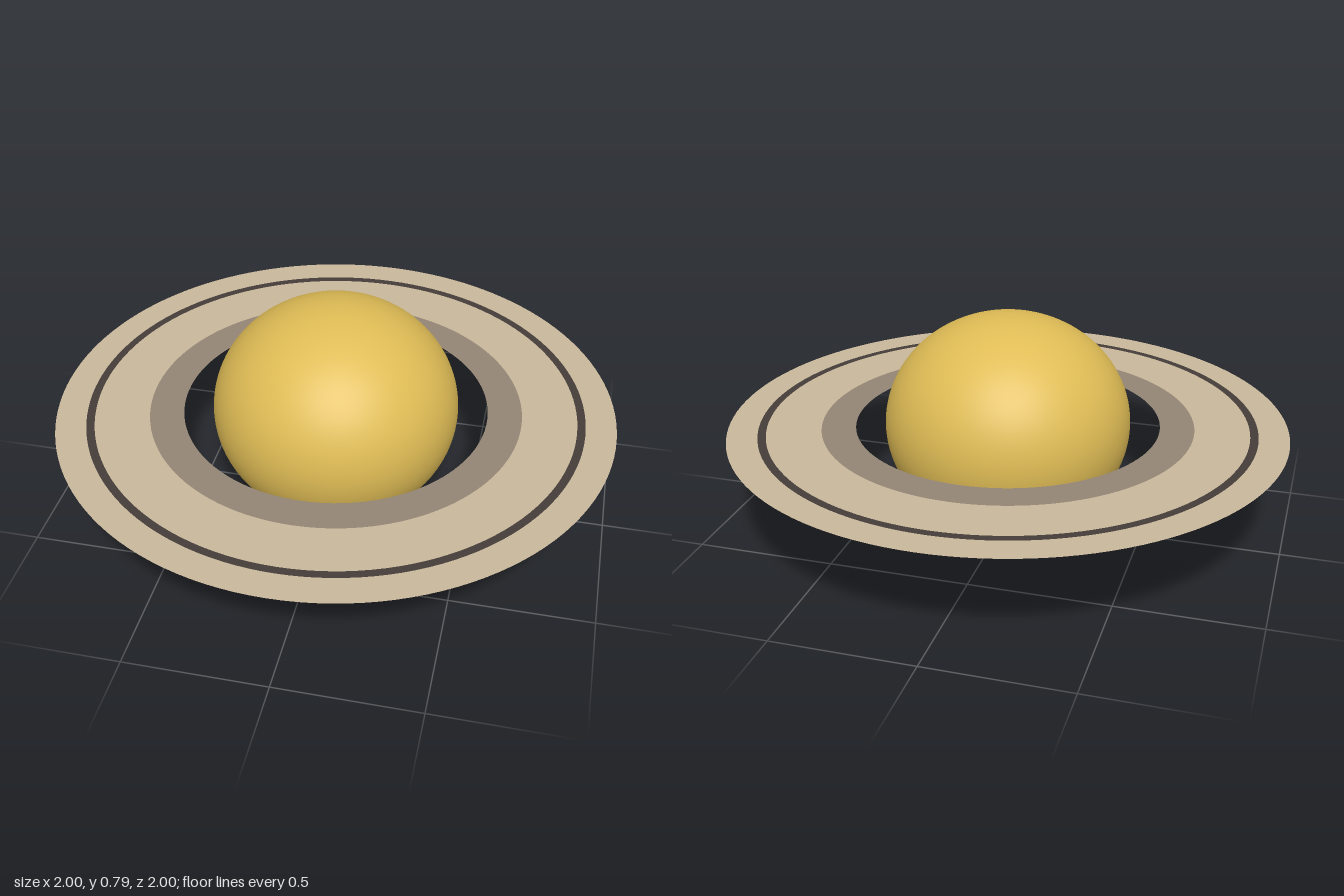
import * as THREE from 'three';

const SEGMENTS = 128;
const RADIUS = 0.44;       // equatorial radius of the planet
const HALF_HEIGHT = 0.397; // polar radius, slightly flattened

function makeMaterial(name, color, side = THREE.FrontSide) {
  const material = new THREE.MeshStandardMaterial({ color, side });
  material.name = name;
  return material;
}

export function createModel() {
  const model = new THREE.Group();
  model.name = 'ringedPlanet';

  const gold = makeMaterial('gold', 0xdfbc55);
  const sand = makeMaterial('sand', 0xc9b79b, THREE.DoubleSide);
  const taupe = makeMaterial('taupe', 0x938574, THREE.DoubleSide);
  const charcoal = makeMaterial('charcoal', 0x443d38, THREE.DoubleSide);

  // Flattened globe resting on the ground
  const globe = new THREE.Mesh(new THREE.SphereGeometry(RADIUS, 96, 64), gold);
  globe.name = 'globe';
  globe.scale.y = HALF_HEIGHT / RADIUS;
  globe.position.y = HALF_HEIGHT;
  model.add(globe);

  // Flat concentric bands around the equator, edge to edge
  const rings = new THREE.Group();
  rings.name = 'rings';
  rings.position.y = HALF_HEIGHT;
  rings.rotation.x = -Math.PI / 2;
  const bands = [
    ['innerRing', 0.546, 0.668, taupe],
    ['mainRing', 0.668, 0.863, sand],
    ['darkDivision', 0.863, 0.892, charcoal],
    ['outerRing', 0.892, 1, sand],
  ];
  for (const [name, inner, outer, material] of bands) {
    const band = new THREE.Mesh(new THREE.RingGeometry(inner, outer, SEGMENTS), material);
    band.name = name;
    rings.add(band);
  }
  model.add(rings);

  return model;
}
